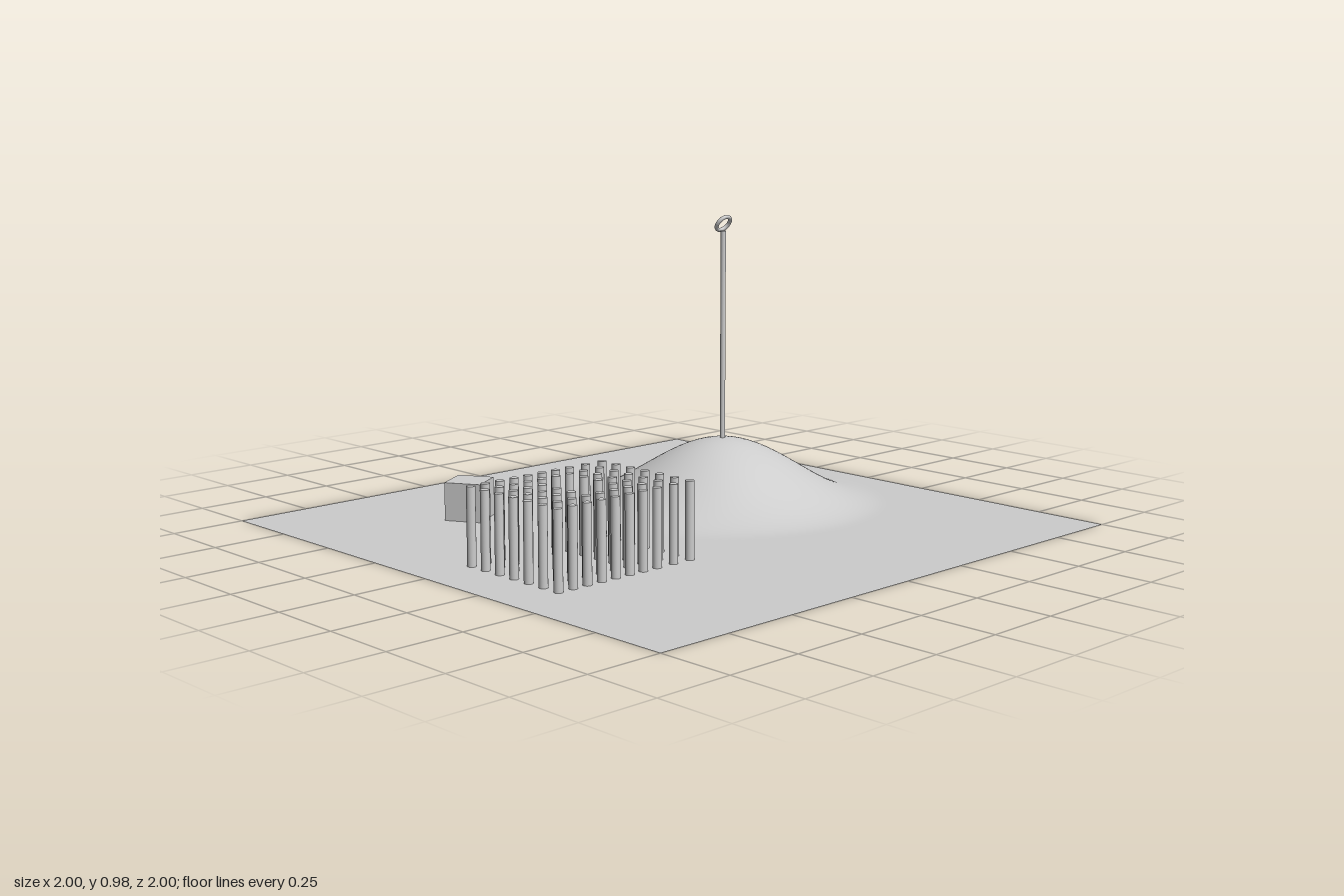
import * as THREE from 'three';

const HILL = { x: 0.37, z: -0.125, radius: 0.56, height: 0.218 };

// Ground height: a smooth cosine mound on a flat plain
function groundHeight(x, z) {
  const r = Math.hypot(x - HILL.x, z - HILL.z);
  return r < HILL.radius ? HILL.height * 0.5 * (1 + Math.cos(Math.PI * r / HILL.radius)) : 0;
}

export function createModel() {
  const model = new THREE.Group();
  const stone = new THREE.MeshStandardMaterial({ color: 0xcccccc });
  stone.name = 'light grey';
  const land = new THREE.MeshStandardMaterial({ color: 0xcccccc, side: THREE.DoubleSide });
  land.name = 'light grey ground';

  function add(parent, name, geometry, material, x, y, z) {
    const mesh = new THREE.Mesh(geometry, material);
    mesh.name = name;
    mesh.position.set(x, y, z);
    parent.add(mesh);
    return mesh;
  }

  // Ground sheet with the hill raised out of it
  const ground = new THREE.PlaneGeometry(2, 2, 96, 96).rotateX(-Math.PI / 2);
  const p = ground.attributes.position;
  for (let i = 0; i < p.count; i++) p.setY(i, groundHeight(p.getX(i), p.getZ(i)));
  ground.computeVertexNormals();
  add(model, 'ground', ground, land, 0, 0, 0);

  // Grid of columns around an open court
  const columns = new THREE.Group();
  columns.name = 'columns';
  model.add(columns);
  const columnHeight = 0.247;
  const columnGeometry = new THREE.CylinderGeometry(0.0142, 0.0142, columnHeight, 20);
  const columnX = [-0.813, -0.757, -0.702, -0.646, -0.591, -0.535, -0.48, -0.423, -0.355, -0.286];
  for (let row = 0; row < 7; row++) {
    columnX.forEach((x, col) => {
      const inCourt = row >= 2 && row <= 4 && (col === 4 || col === 5);
      if (!inCourt) add(columns, 'column', columnGeometry, stone, x, columnHeight / 2, -0.016 + row * 0.0663);
    });
  }

  // Turned cubic hut
  add(model, 'hut', new THREE.BoxGeometry(0.125, 0.128, 0.125), stone, -0.429, 0.064, -0.516).rotation.y = 0.53;

  // Mast on the hilltop with a tilted ring
  const mastBase = 0.21, mastTop = 0.93;
  add(model, 'mast', new THREE.CylinderGeometry(0.009, 0.009, mastTop - mastBase, 20), stone,
    HILL.x, (mastBase + mastTop) / 2, HILL.z);
  add(model, 'ring', new THREE.TorusGeometry(0.028, 0.007, 12, 40), stone,
    HILL.x, 0.955, HILL.z).rotation.x = 0.61;

  return model;
}
